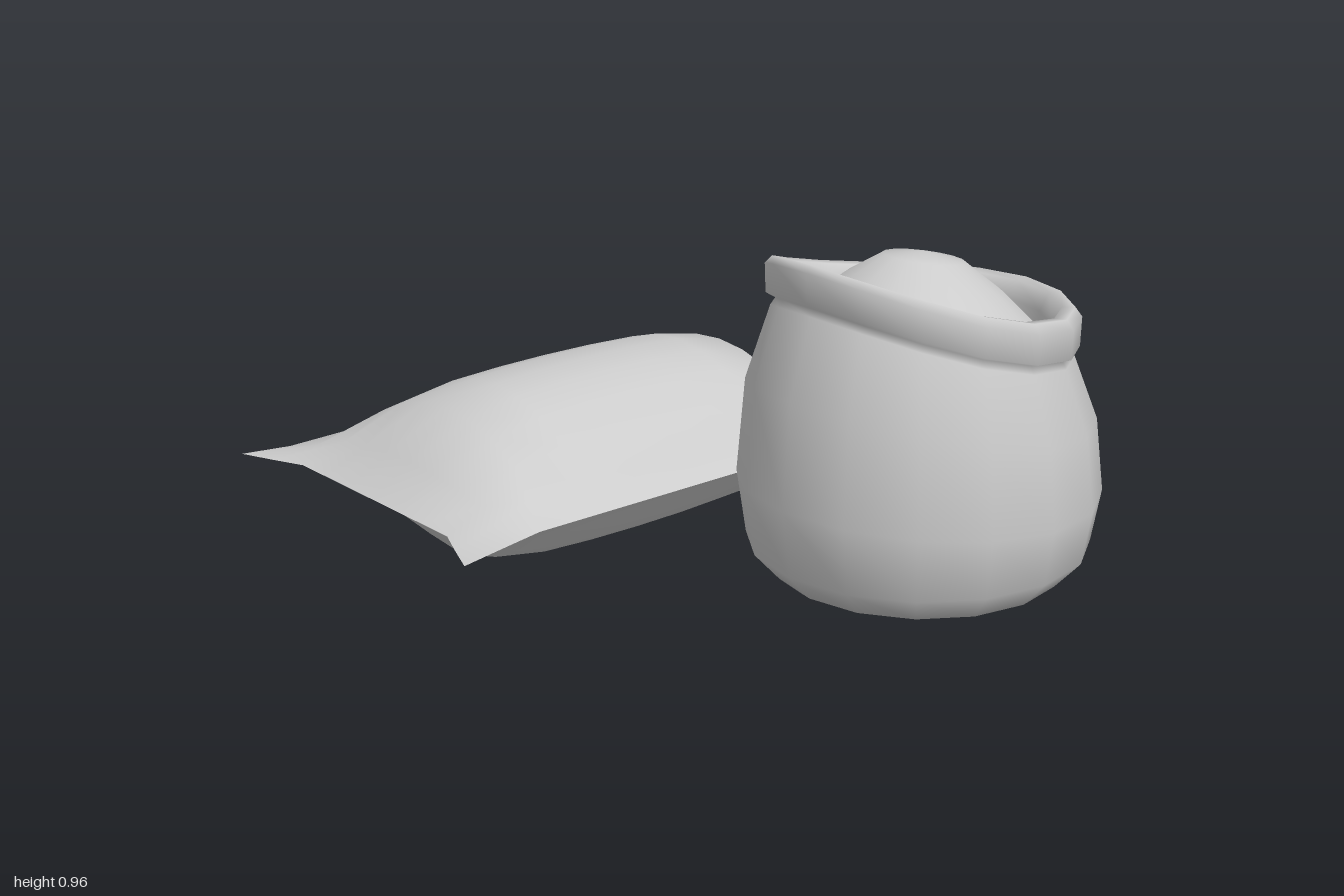
import * as THREE from 'three';
import { mergeVertices } from 'three/addons/utils/BufferGeometryUtils.js';

const material = new THREE.MeshStandardMaterial({ color: 0xcccccc, side: THREE.DoubleSide });

// Welds a geometry so that its normals run smoothly across seams
function smooth(geometry) {
  geometry.deleteAttribute('uv');
  geometry.deleteAttribute('normal');
  const welded = mergeVertices(geometry, 1e-4);
  welded.computeVertexNormals();
  return welded;
}

function part(name, geometry) {
  const mesh = new THREE.Mesh(geometry, material);
  mesh.name = name;
  return mesh;
}

// One half of the closed sack: a grid bulging up (sign 1) or down (sign -1)
function sackHalf(sign) {
  const xs = [0, 0.09, 0.18, 0.27, 0.34, 0.415];
  const zs = [0, 0.14, 0.28, 0.42, 0.53, 0.635];
  const bulgeX = [1, 0.955, 0.82, 0.58, 0.26, 0];
  const bulgeZ = [1, 0.99, 0.955, 0.82, 0.31, 0];
  const pull = (i) => Math.max(0, (i - 3) / 2); // drawn-out corners
  const geometry = new THREE.PlaneGeometry(10, 10, 10, 10).rotateX(-Math.PI / 2);
  const p = geometry.attributes.position;
  for (let n = 0; n < p.count; n++) {
    const u = Math.round(p.getX(n)), v = Math.round(p.getZ(n));
    const i = Math.abs(u), j = Math.abs(v);
    p.setXYZ(n,
      Math.sign(u) * (xs[i] + 0.055 * pull(j) * i / 5),
      sign * 0.215 * bulgeX[i] * bulgeZ[j],
      Math.sign(v) * (zs[j] + 0.07 * pull(i) * j / 5));
  }
  // Turn the lower half's faces outwards
  if (sign < 0) geometry.index.array.reverse();
  return smooth(geometry);
}

// Lathe whose points are then shifted vertically by a rule
function turned(profile, lift) {
  const points = profile.map(([r, y]) => new THREE.Vector2(r, y));
  const geometry = new THREE.LatheGeometry(points, 16);
  const p = geometry.attributes.position;
  for (let n = 0; n < p.count; n++) {
    p.setY(n, p.getY(n) + lift(p.getY(n), p.getZ(n)));
  }
  return smooth(geometry);
}

export function createModel() {
  const model = new THREE.Group();
  model.name = 'sacks';

  const closedSack = new THREE.Group();
  closedSack.name = 'closedSack';
  closedSack.position.set(-0.53, 0.215, 0);
  closedSack.add(part('upperHalf', sackHalf(1)), part('lowerHalf', sackHalf(-1)));

  const openSack = new THREE.Group();
  openSack.name = 'openSack';
  openSack.position.set(0.615, 0, 0.005);

  // Body with rolled rim, its mouth sloping up towards the front
  const body = turned([
    [0, 0.215], [0.31, 0.25], [0.365, 0.31], [0.385, 0.43], [0.367, 0.6],
    [0.315, 0.745], [0.305, 0.762], [0.325, 0.767], [0.327, 0.83],
    [0.312, 0.85], [0.285, 0.848], [0.265, 0.81], [0.258, 0.72],
  ], (y, z) => {
    const t = z / 0.3;
    return THREE.MathUtils.clamp((y - 0.35) / 0.4, 0, 1) * (0.066 * t + 0.038 * t * t);
  });

  // Heaped filling
  const filling = turned(
    [[0.265, 0.775], [0.225, 0.815], [0.165, 0.868], [0.085, 0.922], [0, 0.935]],
    (y, z) => 0.15 * z);

  openSack.add(part('body', body), part('filling', filling));
  model.add(closedSack, openSack);
  return model;
}
